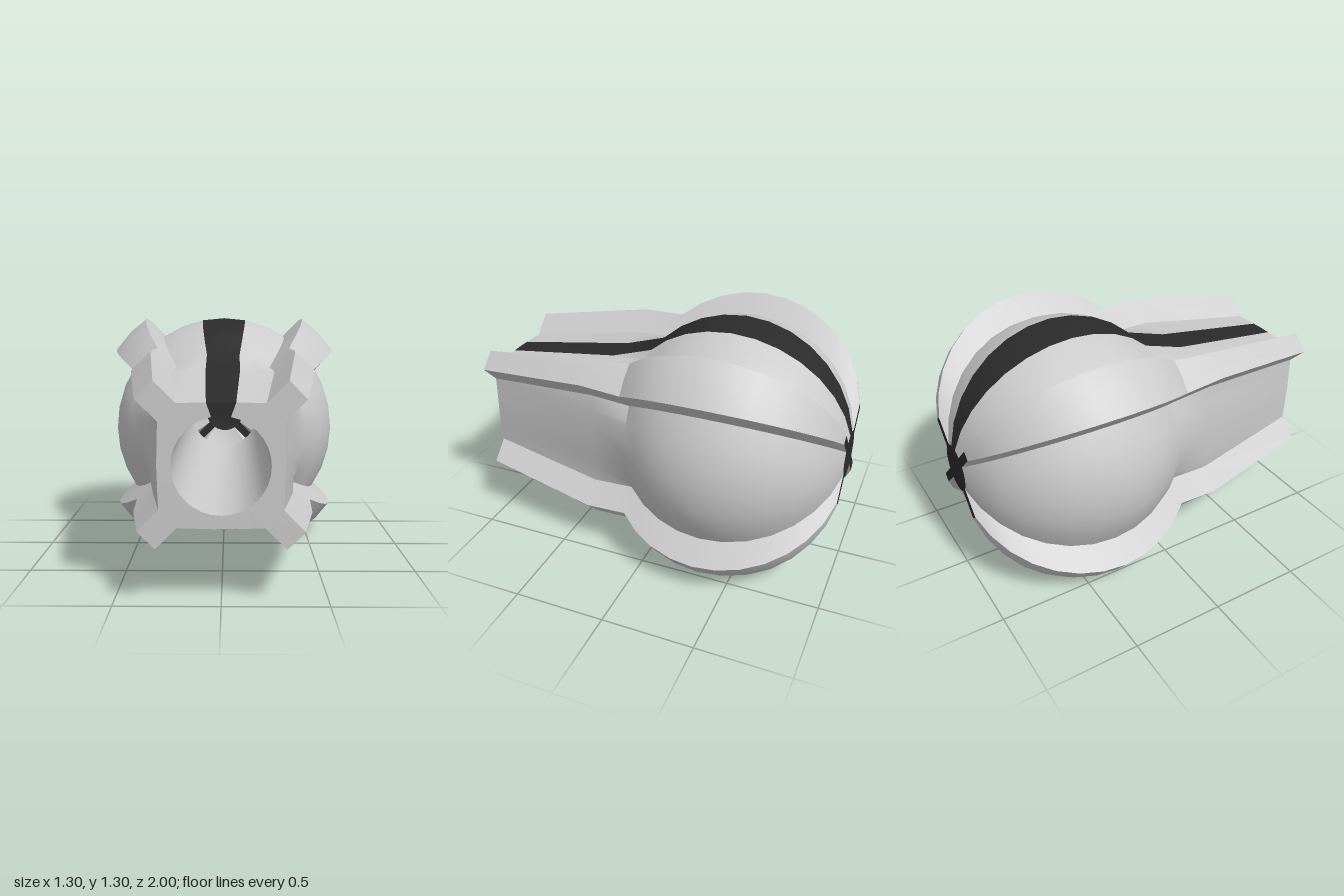
import * as THREE from 'three';
import { toCreasedNormals } from 'three/addons/utils/BufferGeometryUtils.js';

const SEG = 32, STEP = (Math.PI * 2) / SEG;
const R = 0.65, CZ = -0.35, BORE = 0.225;

const grey = new THREE.MeshStandardMaterial({ color: 0xcccccc, side: THREE.DoubleSide });
const black = new THREE.MeshStandardMaterial({ color: 0x2b2b2b, side: THREE.DoubleSide });

// Round ring of the bulb, the pole end or the bore
const roundRing = (r, z) => Array.from({ length: SEG + 1 }, (_, j) =>
  new THREE.Vector3(r * Math.cos(j * STEP), r * Math.sin(j * STEP), z));

// Square ring of the neck: flat sides of half-length w, bevelled at the corners
function squareRing(half, w, z) {
  return Array.from({ length: SEG + 1 }, (_, j) => {
    const side = Math.floor((j + 3) / 8), m = j - side * 8;
    const p = m === 4
      ? new THREE.Vector3((half + w) / 2, (half + w) / 2, z)
      : new THREE.Vector3(half + 0.006 * (1 - Math.abs(m) / 3), (w * m) / 3, z);
    return p.applyAxisAngle(new THREE.Vector3(0, 0, 1), (side * Math.PI) / 2);
  });
}

// Collects quads and triangles into a creased geometry
function makeMesh(name, faces, material) {
  const pos = [];
  for (const f of faces)
    for (let k = 1; k < f.length - 1; k++)
      for (const p of [f[0], f[k], f[k + 1]]) pos.push(p.x, p.y, p.z);
  const g = new THREE.BufferGeometry();
  g.setAttribute('position', new THREE.Float32BufferAttribute(pos, 3));
  const mesh = new THREE.Mesh(toCreasedNormals(g, Math.PI / 6), material);
  mesh.name = name;
  return mesh;
}

// Quads between successive sections, for the columns accepted by keep
function loft(rings, keep = () => true) {
  const faces = [];
  for (let i = 0; i < rings.length - 1; i++)
    for (let j = 0; j < rings[i].length - 1; j++)
      if (keep(j)) faces.push([rings[i][j], rings[i][j + 1], rings[i + 1][j + 1], rings[i + 1][j]]);
  return faces;
}

export function createModel() {
  const body = new THREE.Group();
  body.name = 'body';

  // Bulb rings from the rear pole forwards, then the tapering neck
  const rings = [];
  for (let k = 1; k <= 12; k++)
    rings.push(roundRing(R * Math.sin(k * STEP), CZ - R * Math.cos(k * STEP)));
  rings.push(squareRing(0.374, 0.27, 0.34), squareRing(0.282, 0.2, 1));

  // Hull with gaps for the top stripe and under the fins
  const isStripe = (j) => j === 7 || j === 8;
  const isFin = (j) => j % 8 === 3 || j % 8 === 4;
  body.add(makeMesh('hull', loft(rings, (j) => !isStripe(j) && !isFin(j)), grey));
  body.add(makeMesh('topStripe', loft(rings, isStripe), black));

  // Front face around the bore
  const face = [rings[rings.length - 1], roundRing(BORE, 1)];
  body.add(makeMesh('frontFace', loft(face, (j) => !isStripe(j)), grey));
  body.add(makeMesh('frontStripe', loft(face, isStripe), black));

  // Bore wall, facing inwards
  body.add(makeMesh('bore', loft([roundRing(BORE, 1), roundRing(BORE, -0.93)]), grey));

  // Rear disc
  const pole = new THREE.Vector3(0, 0, CZ - R);
  const disc = [];
  for (let j = 0; j < SEG; j++) disc.push([pole, rings[0][j + 1], rings[0][j]]);
  body.add(makeMesh('rearDisc', disc, black));

  // Four diagonal fins, raised from the hull along its full length
  for (let q = 0; q < 4; q++) {
    const c = q * 8 + 4;
    const out = new THREE.Vector3(Math.cos(c * STEP), Math.sin(c * STEP), 0);
    const sections = rings.map((ring, i) => {
      const h = i === rings.length - 1 ? 0.14 : 0.15;
      const raised = [c - 1, c, c + 1].map((j) => ring[j].clone().addScaledVector(out, h));
      return [ring[c - 1], ...raised, ring[c + 1]];
    });
    const cap = (i) => {
      const [b0, o0, o1, o2, b1] = sections[i], m = rings[i][c];
      return [[b0, o0, o1, m], [m, o1, o2, b1]];
    };
    const fin = new THREE.Group();
    fin.name = 'fin' + (q + 1);
    fin.add(makeMesh('finSides', [...loft(sections), ...cap(rings.length - 1)], grey));
    fin.add(makeMesh('finRearEnd', cap(0).map((f) => f.reverse()), black));
    body.add(fin);
  }

  body.position.y = 0.655;
  const model = new THREE.Group();
  model.name = 'model';
  model.add(body);
  return model;
}
